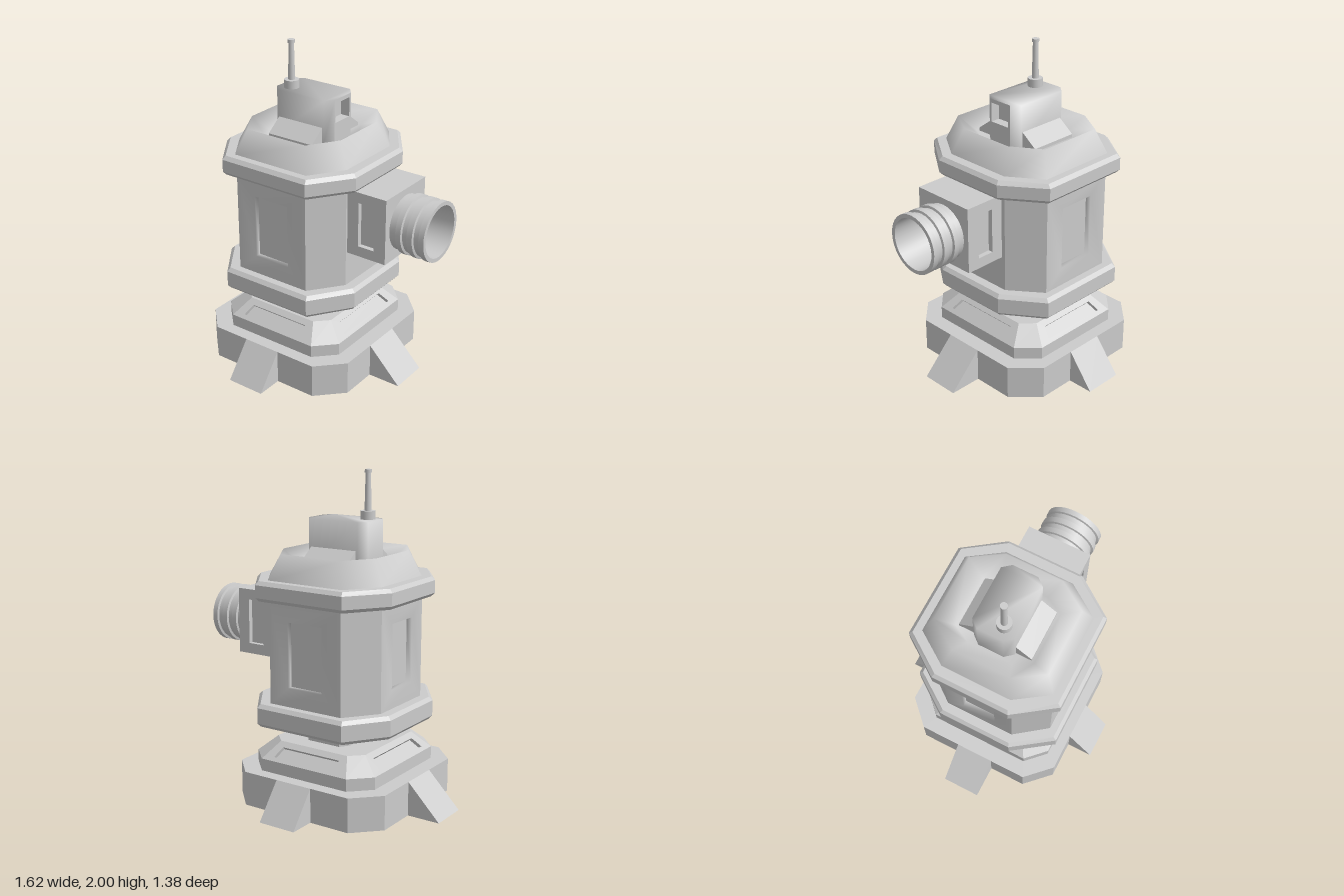
import * as THREE from 'three';
import { mergeVertices, toCreasedNormals } from 'three/addons/utils/BufferGeometryUtils.js';

const flatMat = new THREE.MeshStandardMaterial({ color: 0xcccccc, flatShading: true, side: THREE.DoubleSide });
const smoothMat = new THREE.MeshStandardMaterial({ color: 0xcccccc, side: THREE.DoubleSide });

const V = (x, y, z) => new THREE.Vector3(x, y, z);

// Mesh from a list of polygons (corners counter-clockwise from outside)
function polyMesh(name, polys, smooth = false) {
  const pos = [];
  for (const p of polys)
    for (let i = 1; i < p.length - 1; i++)
      for (const v of [p[0], p[i], p[i + 1]]) pos.push(v.x, v.y, v.z);
  let geo = new THREE.BufferGeometry();
  geo.setAttribute('position', new THREE.Float32BufferAttribute(pos, 3));
  if (smooth) geo = mergeVertices(geo);
  geo.computeVertexNormals();
  const mesh = new THREE.Mesh(geo, smooth ? smoothMat : flatMat);
  mesh.name = name;
  return mesh;
}

// Chamfered rectangle at height y: half sizes hx, hz and half flat lengths fx, fz
function oct(y, hx, hz, fx, fz) {
  return [[fx, hz], [hx, fz], [hx, -fz], [fx, -hz], [-fx, -hz], [-hx, -fz], [-hx, fz], [-fx, hz]]
    .map(([x, z]) => V(x, y, z));
}
// Sides of the outline: 1 is +x, 3 is -z, 5 is -x, 7 is +z
const sideQuad = (lo, hi, i) => [lo[i], lo[(i + 1) % 8], hi[(i + 1) % 8], hi[i]];

// Skin over stacked outlines; skip(layer, side) leaves gaps for recessed panels
function loft(name, rings, { smooth = false, cap = false, skip = () => false } = {}) {
  const polys = [];
  for (let k = 0; k < rings.length - 1; k++)
    for (let i = 0; i < 8; i++)
      if (!skip(k, i)) polys.push(sideQuad(rings[k], rings[k + 1], i));
  if (cap) polys.push(rings[rings.length - 1]);
  return polyMesh(name, polys, smooth);
}

// Quad with a sunken panel covering u0..u1, v0..v1
function recess(name, q, u0, u1, v0, v1, depth, smooth = false) {
  const [a, b, c, d] = q;
  const at = (u, v) => a.clone().lerp(b, u).lerp(d.clone().lerp(c, u), v);
  const inward = b.clone().sub(a).cross(d.clone().sub(a)).normalize().multiplyScalar(-depth);
  const hole = [at(u0, v0), at(u1, v0), at(u1, v1), at(u0, v1)];
  const floor = hole.map((p) => p.clone().add(inward));
  const frame = [];
  for (let i = 0; i < 4; i++) {
    const j = (i + 1) % 4;
    frame.push([q[i], q[j], hole[j], hole[i]], [hole[i], hole[j], floor[j], floor[i]]);
  }
  const g = new THREE.Group();
  g.name = name;
  g.add(polyMesh(name + 'Frame', frame, smooth), polyMesh(name + 'Inset', [floor], false));
  return g;
}

function cylinder(name, rTop, rBottom, y0, y1, x, z) {
  const geo = new THREE.CylinderGeometry(rTop, rBottom, y1 - y0, 16);
  const m = new THREE.Mesh(geo, smoothMat);
  m.position.set(x, (y0 + y1) / 2, z);
  m.name = name;
  return m;
}

export function createModel() {
  const model = new THREE.Group();
  model.name = 'machine';
  const body = new THREE.Group();
  body.name = 'assembly';
  body.position.x = -0.083;
  model.add(body);

  // Open base skirt with its top ledge
  body.add(loft('baseSkirt', [
    oct(0, 0.522, 0.523, 0.37, 0.37),
    oct(0.21, 0.522, 0.523, 0.37, 0.37),
    oct(0.21, 0.425, 0.445, 0.305, 0.325),
  ]));

  // Wedge feet, hollow underneath
  [[0, 0.523, 0.688, -0.012], [1, 0.522, 0.73, -0.012], [2, 0.523, 0.688, -0.012], [3, 0.522, 0.73, 0.012]]
    .forEach(([turn, wall, tip, off]) => {
      const [l, r] = [off - 0.122, off + 0.122];
      const [lt, lb, lo] = [V(l, 0.21, wall), V(l, 0, wall), V(l, 0, tip)];
      const [rt, rb, ro] = [V(r, 0.21, wall), V(r, 0, wall), V(r, 0, tip)];
      const foot = polyMesh('foot', [[lo, ro, rt, lt], [lb, lo, lt], [ro, rb, rt]]);
      foot.rotation.y = turn * Math.PI / 2;
      body.add(foot);
    });

  // Sloped plinth with a recessed panel on each side
  const plinth = [
    oct(0.21, 0.425, 0.445, 0.305, 0.325),
    oct(0.285, 0.425, 0.445, 0.305, 0.325),
    oct(0.38, 0.317, 0.335, 0.24, 0.26),
  ];
  body.add(loft('plinth', plinth, { cap: true, skip: (k, i) => k === 1 && i % 2 === 1 }));
  for (const i of [1, 3, 5, 7])
    body.add(recess('plinthPanel', sideQuad(plinth[1], plinth[2], i), 0.11, 0.89, 0.2, 0.72, 0.02));

  // Neck
  body.add(loft('neck', [oct(0.37, 0.153, 0.232, 0.112, 0.172), oct(0.5, 0.153, 0.232, 0.112, 0.172)]));

  // Main body with recessed windows on three sides
  const hull = [oct(0.63, 0.398, 0.42, 0.25, 0.225), oct(1.26, 0.398, 0.42, 0.25, 0.225)];
  const windows = [3, 5, 7];
  body.add(loft('hull', hull, { skip: (k, i) => windows.includes(i) }));
  for (const i of windows)
    body.add(recess('hullWindow', sideQuad(hull[0], hull[1], i), 0.26, 0.74, 0.19, 0.815, 0.035, true));

  // Bevelled collars below and above the body
  for (const [name, y0, y1] of [['lowerCollar', 0.495, 0.635], ['upperCollar', 1.255, 1.375]]) {
    body.add(loft(name, [
      oct(y0, 0.12, 0.2, 0.09, 0.15),
      oct(y0, 0.455, 0.465, 0.292, 0.232),
      oct(y0 + 0.022, 0.475, 0.486, 0.3, 0.242),
      oct(y1 - 0.022, 0.475, 0.486, 0.3, 0.242),
      oct(y1, 0.455, 0.465, 0.292, 0.232),
      oct(y1, 0.38, 0.4, 0.24, 0.21),
    ]));
  }

  // Sloped crown with a dished top
  body.add(loft('crown', [
    oct(1.37, 0.398, 0.422, 0.26, 0.22),
    oct(1.525, 0.325, 0.36, 0.21, 0.18),
    oct(1.45, 0.225, 0.25, 0.165, 0.14),
  ], { smooth: true, cap: true }));

  // Head with a recessed eye on its +x side
  const head = [oct(1.45, 0.21, 0.13, 0.168, 0.08), oct(1.71, 0.21, 0.13, 0.168, 0.08)];
  body.add(loft('head', head, { smooth: true, cap: true, skip: (k, i) => i === 1 }));
  body.add(recess('headWindow', sideQuad(head[0], head[1], 1), 0.06, 0.9, 0.46, 0.91, 0.06));

  // Sloped skirts at the front and back of the head
  for (const s of [1, -1]) {
    const section = new THREE.Shape();
    section.moveTo(0.1, 1.45).lineTo(0.23, 1.45).lineTo(0.23, 1.47).lineTo(0.13, 1.545).lineTo(0.1, 1.545);
    const geo = new THREE.ExtrudeGeometry(section, { depth: 0.315, bevelEnabled: false });
    geo.translate(0, 0, -0.1575).rotateY(-s * Math.PI / 2);
    const skirt = new THREE.Mesh(geo, flatMat);
    skirt.name = 'headSkirt';
    body.add(skirt);
  }

  // Antenna
  const [ax, az] = [-0.127, 0.045];
  body.add(
    cylinder('antennaCollar', 0.045, 0.045, 1.7, 1.76, ax, az),
    cylinder('antennaRod', 0.016, 0.021, 1.755, 1.985, ax, az),
    cylinder('antennaTip', 0.021, 0.021, 1.98, 2.0, ax, az),
  );

  // Nozzle housing: a box with a recessed panel front and back
  const [x0, x1, y0, y1, z0, z1] = [0.39, 0.66, 0.848, 1.253, -0.2, 0.212];
  const P = (x, y, z) => V(x ? x1 : x0, y ? y1 : y0, z ? z1 : z0);
  body.add(polyMesh('nozzleHousing', [
    [P(1, 0, 1), P(1, 0, 0), P(1, 1, 0), P(1, 1, 1)],
    [P(0, 1, 1), P(1, 1, 1), P(1, 1, 0), P(0, 1, 0)],
    [P(0, 0, 0), P(1, 0, 0), P(1, 0, 1), P(0, 0, 1)],
  ]));
  body.add(
    recess('housingPanel', [P(0, 0, 1), P(1, 0, 1), P(1, 1, 1), P(0, 1, 1)], 0.31, 0.71, 0.16, 0.84, 0.03),
    recess('housingPanel', [P(1, 0, 0), P(0, 0, 0), P(0, 1, 0), P(1, 1, 0)], 0.29, 0.69, 0.16, 0.84, 0.03),
  );

  // Ribbed hollow nozzle
  const profile = [[0.168, 0]];
  for (const [a, b] of [[0.048, 0.082], [0.122, 0.158], [0.2, 0.234]])
    profile.push([0.168, a - 0.004], [0.182, a], [0.182, b], [0.168, Math.min(b + 0.004, 0.234)]);
  profile.push([0.158, 0.234], [0.158, 0.008], [0, 0.008]);
  const lathe = new THREE.LatheGeometry(profile.map(([r, h]) => new THREE.Vector2(r, h)), 32);
  const nozzle = new THREE.Mesh(toCreasedNormals(lathe, 0.6), smoothMat);
  nozzle.rotation.z = -Math.PI / 2;
  nozzle.position.set(x1 - 0.001, 1.045, 0.004);
  nozzle.name = 'nozzle';
  body.add(nozzle);

  return model;
}
